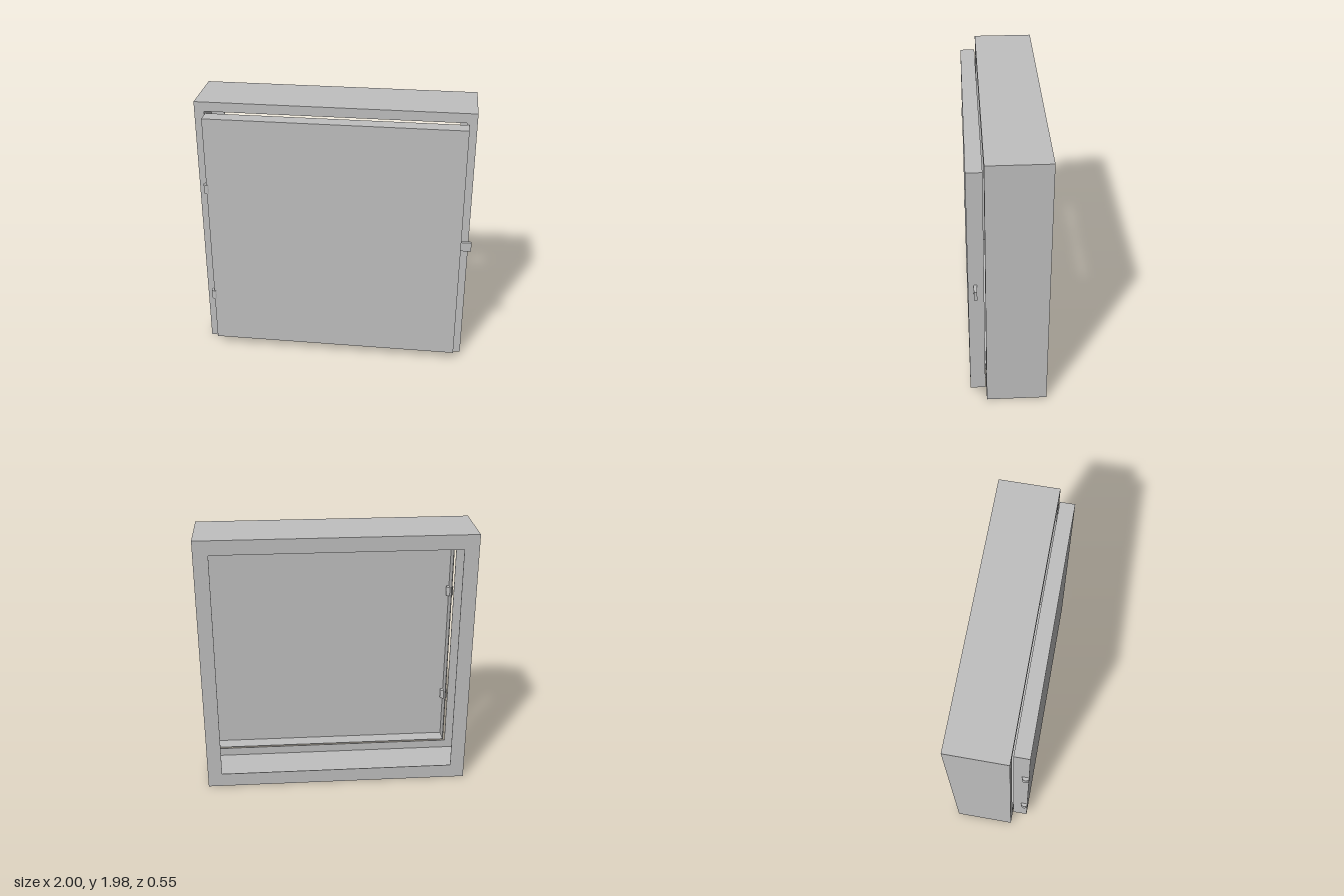
import * as THREE from 'three';

const SHEET = 0.005; // sheet metal thickness

export function createModel() {
  const metal = new THREE.MeshStandardMaterial({ color: 0xc0c0c0 });
  metal.name = 'light grey metal';
  const model = new THREE.Group();
  model.name = 'wallCabinet';

  const add = (parent, name, geometry, x, y, z) => {
    const mesh = new THREE.Mesh(geometry, metal);
    mesh.name = name;
    mesh.position.set(x, y, z);
    parent.add(mesh);
    return mesh;
  };

  // Four thin walls around a rectangle, running from z0 to z1
  const addWalls = (parent, x0, x1, y0, y1, z0, z1) => {
    const w = x1 - x0, h = y1 - y0, d = z1 - z0;
    const cx = (x0 + x1) / 2, cy = (y0 + y1) / 2, cz = (z0 + z1) / 2;
    for (const s of [-1, 1]) {
      add(parent, s > 0 ? 'leftWall' : 'rightWall',
        new THREE.BoxGeometry(SHEET, h, d), cx + s * (w - SHEET) / 2, cy, cz);
      add(parent, s > 0 ? 'topWall' : 'bottomWall',
        new THREE.BoxGeometry(w - 2 * SHEET, SHEET, d), cx, cy + s * (h - SHEET) / 2, cz);
    }
  };

  // Flat square ring with the given rim width
  const ring = (x0, x1, y0, y1, rim) => {
    const rect = (Type, m) => new Type([
      new THREE.Vector2(x0 + m, y0 + m), new THREE.Vector2(x1 - m, y0 + m),
      new THREE.Vector2(x1 - m, y1 - m), new THREE.Vector2(x0 + m, y1 - m),
    ]);
    const shape = rect(THREE.Shape, 0);
    shape.holes.push(rect(THREE.Path, rim));
    return new THREE.ExtrudeGeometry(shape, { depth: SHEET, bevelEnabled: false });
  };

  // Hollow housing: outer walls with a rim at the front and a wider one at the back
  const housing = new THREE.Group();
  housing.name = 'housing';
  model.add(housing);
  const [x0, x1, y0, y1, back, front] = [-1, 0.98, 0, 1.98, -0.277, 0.157];
  addWalls(housing, x0, x1, y0, y1, back + SHEET, front - SHEET);
  add(housing, 'frontRim', ring(x0, x1, y0, y1, 0.07), 0, 0, front - SHEET);
  add(housing, 'backRim', ring(x0, x1, y0, y1, 0.107), 0, 0, back);

  // Door: a shallow tray open at the back
  const door = new THREE.Group();
  door.name = 'door';
  model.add(door);
  const [dx0, dx1, dy0, dy1, dBack, dFront] = [-0.92, 0.925, 0.07, 1.9, 0.165, 0.273];
  addWalls(door, dx0, dx1, dy0, dy1, dBack, dFront - SHEET);
  add(door, 'doorPanel', new THREE.BoxGeometry(dx1 - dx0, dy1 - dy0, SHEET),
    (dx0 + dx1) / 2, (dy0 + dy1) / 2, dFront - SHEET / 2);

  // Hinge barrels
  for (const y of [0.457, 1.355]) {
    add(door, 'hinge', new THREE.CylinderGeometry(0.027, 0.027, 0.07, 24), -0.918, y, 0.25);
  }

  // Latch tongue
  add(door, 'latch', new THREE.BoxGeometry(0.08, 0.07, 0.022), 0.96, 0.985, 0.224);

  return model;
}
